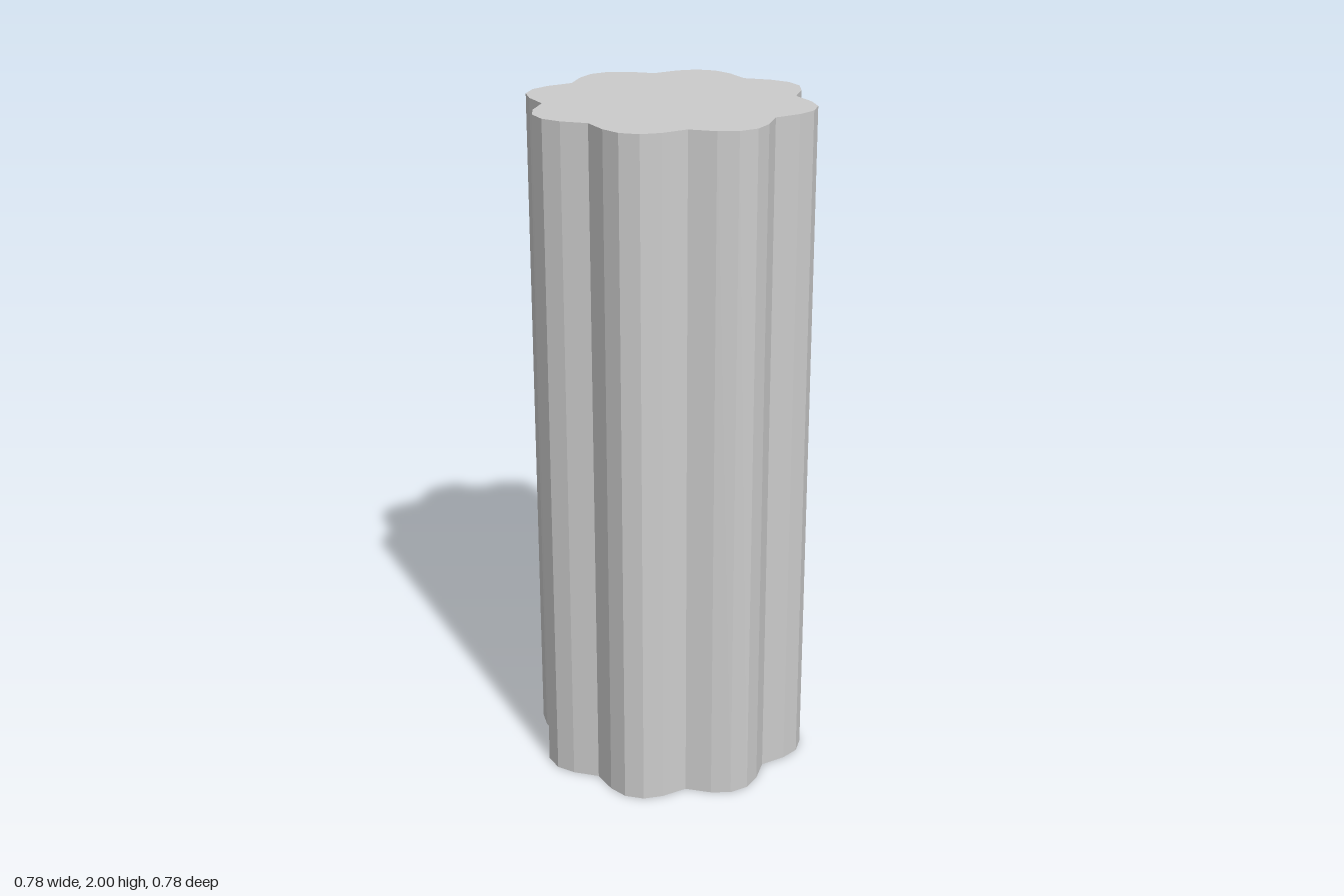
import * as THREE from 'three';

export function createModel() {
  const group = new THREE.Group();
  const lobes = 8;
  const height = 2;

  // One lobe of the outline: [angle in degrees, radius], starting in a groove
  const lobe = [[0, 0.354], [10.68, 0.39], [18.5, 0.411], [26.5, 0.411], [34.32, 0.39]];

  const outline = [];
  for (let i = 0; i < lobes; i++) {
    for (const [degrees, radius] of lobe) {
      const a = THREE.MathUtils.degToRad(degrees + i * 360 / lobes);
      outline.push(new THREE.Vector2(radius * Math.cos(a), radius * Math.sin(a)));
    }
  }

  // Column with eight faceted lobes, closed at both ends
  const geometry = new THREE.ExtrudeGeometry(new THREE.Shape(outline), {
    depth: height, bevelEnabled: false,
  });
  geometry.rotateX(-Math.PI / 2);

  const column = new THREE.Mesh(
    geometry,
    new THREE.MeshStandardMaterial({ color: 0xcccccc, flatShading: true }),
  );
  column.name = 'lobedColumn';
  group.add(column);
  return group;
}
